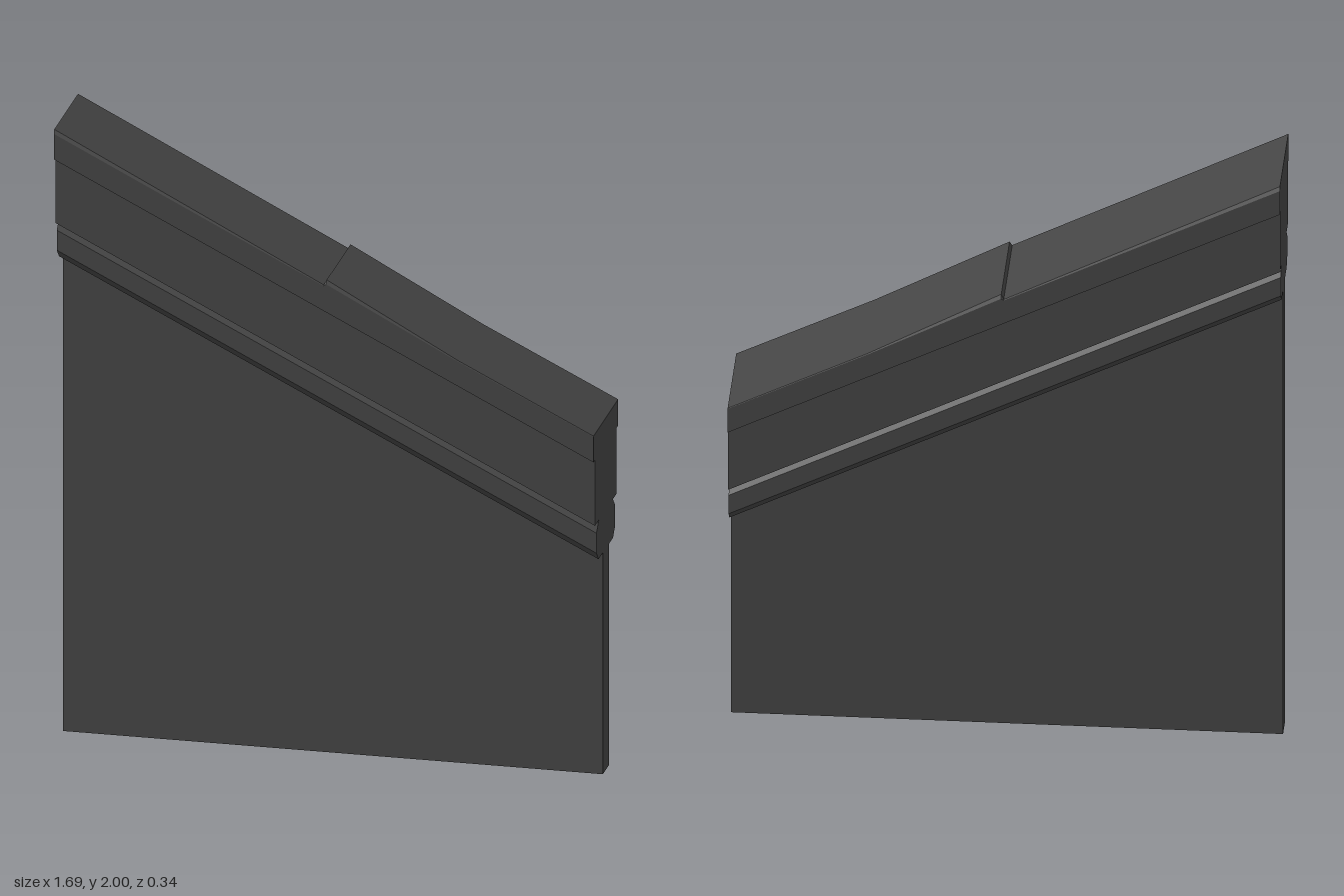
import * as THREE from 'three';

const HALF = 0.845;   // half length of the wall
const SLOPE = 0.5;    // fall of the coping along x
const rise = x => SLOPE * (HALF - x);

const material = new THREE.MeshStandardMaterial({ color: 0x454545, flatShading: true });

// Half profile [distance from the middle, height], listed bottom to top, made into a full ring
const mirrored = half => [...half, ...half.slice().reverse().map(([d, h]) => [-d, h])];

// Joins equal rings standing at successive x, each lifted by the slope, and closes both ends
function loft(name, sections) {
  const positions = [];
  const rings = sections.map(({ x, half }) =>
    mirrored(half).map(([d, h]) => [x, h + rise(x), -d]));
  const triangle = (a, b, c) => positions.push(...a, ...b, ...c);
  const n = rings[0].length;
  for (let s = 0; s < rings.length - 1; s++) {
    for (let i = 0; i < n; i++) {
      const j = (i + 1) % n;
      triangle(rings[s][i], rings[s][j], rings[s + 1][j]);
      triangle(rings[s][i], rings[s + 1][j], rings[s + 1][i]);
    }
  }
  const endCap = (index, flip) => {
    const outline = mirrored(sections[index].half).map(p => new THREE.Vector2(...p));
    for (const [a, b, c] of THREE.ShapeUtils.triangulateShape(outline, [])) {
      const r = rings[index];
      if (flip) triangle(r[a], r[c], r[b]);
      else triangle(r[a], r[b], r[c]);
    }
  };
  endCap(0, true);
  endCap(rings.length - 1, false);
  const geometry = new THREE.BufferGeometry();
  geometry.setAttribute('position', new THREE.Float32BufferAttribute(positions, 3));
  geometry.computeVertexNormals();
  const mesh = new THREE.Mesh(geometry, material);
  mesh.name = name;
  return mesh;
}

export function createModel() {
  const model = new THREE.Group();
  model.name = 'slopedWall';

  // Thin wall panel with a slanting top that meets the moulding
  const outline = new THREE.Shape([
    new THREE.Vector2(-HALF, 0),
    new THREE.Vector2(HALF, 0),
    new THREE.Vector2(HALF, 0.72),
    new THREE.Vector2(-HALF, 0.72 + rise(-HALF)),
  ]);
  const panelGeometry = new THREE.ExtrudeGeometry(outline, { depth: 0.08, bevelEnabled: false });
  panelGeometry.translate(0, 0, -0.04);
  const panel = new THREE.Mesh(panelGeometry, material);
  panel.name = 'wallPanel';
  model.add(panel);

  // Moulding: chamfered bead, V groove and upright band
  const moulding = [
    [0.098, 0.72], [0.127, 0.75], [0.127, 0.815],
    [0.095, 0.846], [0.147, 0.846], [0.147, 1.06],
  ];
  model.add(loft('moulding', [-HALF, HALF].map(x => ({ x, half: moulding }))));

  // Two coping stones with a small step where they meet
  const coping = (x, top, chamfer) => ({
    x, half: [[0.168, 1.06], [0.168, top - chamfer], [0.168 - chamfer * 0.6, top]],
  });
  model.add(loft('upperCoping', [
    coping(-HALF, 1.155, 0.012),
    coping(0, 1.144, 0.003),
  ]));
  model.add(loft('lowerCoping', [
    coping(0, 1.144, 0.003),
    coping(0.008, 1.163, 0.012),
    coping(0.42, 1.143, 0.003),
    coping(HALF, 1.145, 0.002),
  ]));

  return model;
}
